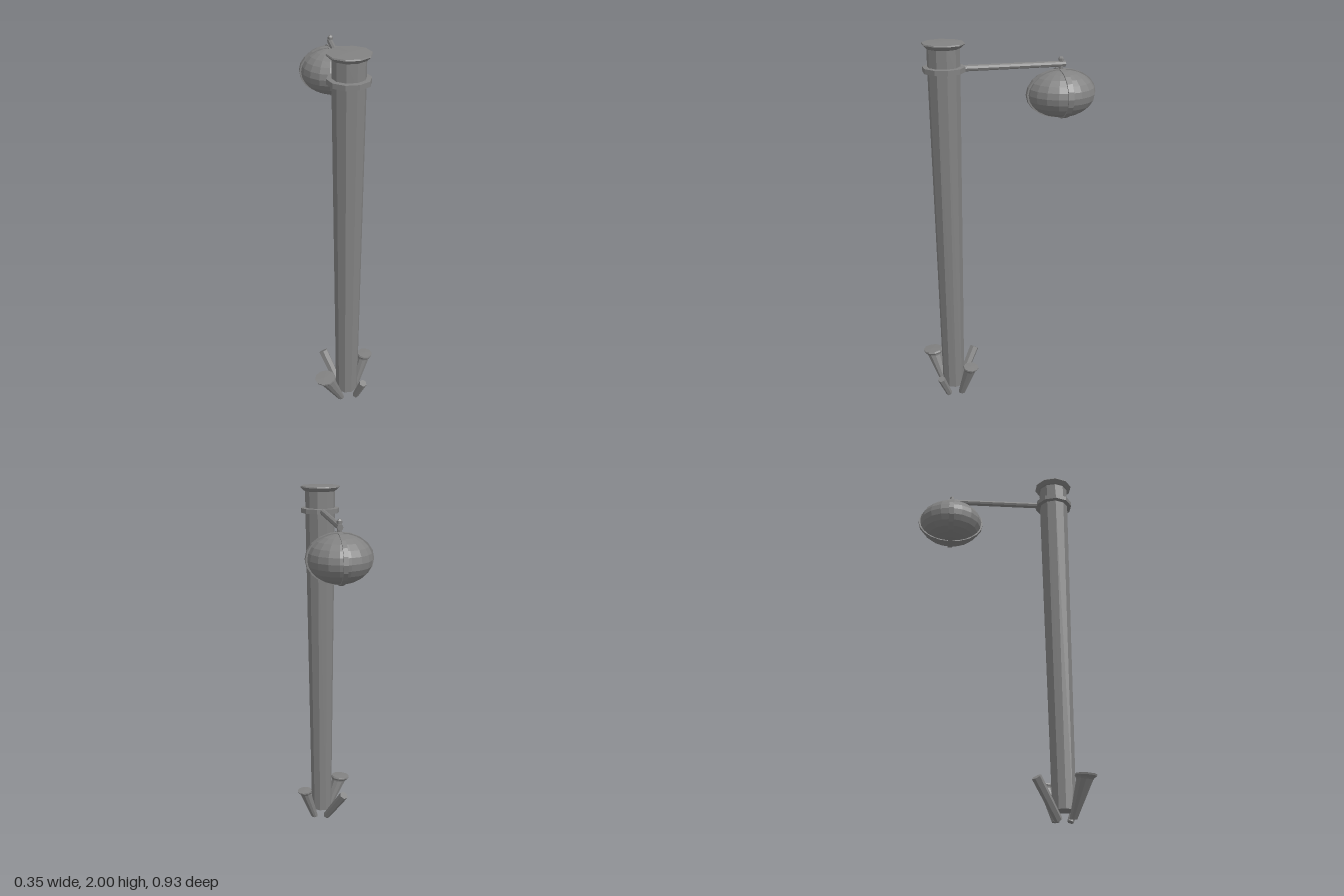
import * as THREE from 'three';

const mat = new THREE.MeshStandardMaterial({ color: 0x828282, flatShading: true });
const POST = [0.011, 0, 0.321];
const BALL = [0.011, 1.712, -0.283];

function add(parent, name, geo, pos = [0, 0, 0]) {
  const m = new THREE.Mesh(geo, mat);
  m.name = name;
  m.position.set(...pos);
  parent.add(m);
  return m;
}

// Faceted turned shape with corners on the x axis
function turned(points, sides) {
  const pts = points.map(([r, y]) => new THREE.Vector2(r, y));
  return new THREE.LatheGeometry(pts, sides, Math.PI / 2);
}

// Tapered rod between two points
function rod(parent, name, a, b, ra, rb, sides = 6) {
  const from = new THREE.Vector3(...a), to = new THREE.Vector3(...b);
  const dir = to.clone().sub(from);
  const m = add(parent, name, new THREE.CylinderGeometry(rb, ra, dir.length(), sides));
  m.position.copy(from).add(to).multiplyScalar(0.5);
  m.quaternion.setFromUnitVectors(new THREE.Vector3(0, 1, 0), dir.normalize());
  return m;
}

// Leaning peg: a turned shape sheared sideways, its flared head dipping outward
function headedPeg(parent, name, foot, top, r) {
  const h = top[1] - foot[1], dx = top[0] - foot[0], dz = top[2] - foot[2];
  const geo = turned([[0, 0], [0.019, 0], [r * 0.76, h - 0.025], [r * 0.82, h - 0.018],
    [r, h - 0.008], [r * 0.98, h], [0, h + 0.002]], 10);
  const p = geo.attributes.position;
  for (let i = 0; i < p.count; i++) {
    const x = p.getX(i), y = p.getY(i), z = p.getZ(i), t = y / h;
    p.setXYZ(i, x + t * dx, y - 1.2 * (x * dx + z * dz), z + t * dz);
  }
  geo.computeVertexNormals();
  add(parent, name, geo, foot);
}

// Flat elliptical hoop standing in the xy plane
function hoop(rx, ry, thick, width) {
  const ellipse = (a, b) => new THREE.EllipseCurve(0, 0, a, b).getPoints(20).slice(0, 20);
  const shape = new THREE.Shape(ellipse(rx, ry));
  shape.holes.push(new THREE.Path(ellipse(rx - thick, ry - thick)));
  const geo = new THREE.ExtrudeGeometry(shape, { depth: width, bevelEnabled: false });
  return geo.translate(0, 0, -width / 2);
}

export function createModel() {
  const model = new THREE.Group();
  model.name = 'lanternPost';

  // Post, collar and flared cap
  add(model, 'post', turned([[0, 0.065], [0.06, 0.065], [0.081, 1.86], [0.081, 1.978], [0, 1.978]], 10), POST);
  add(model, 'collar', turned([[0.078, 1.853], [0.105, 1.855], [0.105, 1.88], [0.078, 1.882]], 10), POST);
  add(model, 'cap', turned([[0.078, 1.968], [0.088, 1.972], [0.107, 1.99], [0.104, 1.996], [0, 2]], 10), POST);

  // Arm and the hanger pin through its tip
  rod(model, 'arm', [0.011, 1.867, 0.25], [0.011, 1.861, -0.303], 0.016, 0.015, 8);
  rod(model, 'hangerPin', [0.011, 1.82, -0.28], [0.011, 1.885, -0.28], 0.012, 0.012);
  add(model, 'pinKnob', turned([[0, 1.876], [0.014, 1.878], [0.014, 1.889], [0.007, 1.898], [0, 1.898]], 6),
    [0.011, 0, -0.28]);

  // Lantern ball wrapped by two crossing bands
  const lantern = new THREE.Group();
  lantern.name = 'lantern';
  lantern.position.set(...BALL);
  model.add(lantern);
  add(lantern, 'ball', new THREE.SphereGeometry(1, 18, 12).scale(0.159, 0.121, 0.178));
  add(lantern, 'crossBand', hoop(0.166, 0.126, 0.018, 0.028));
  add(lantern, 'lengthBand', hoop(0.185, 0.126, 0.018, 0.022)).rotation.y = Math.PI / 2;

  // Pegs around the foot: two with heads, two plain
  headedPeg(model, 'leftPeg', [0.06, 0.02, 0.285], [0.126, 0.221, 0.243], 0.042);
  headedPeg(model, 'rightPeg', [-0.027, 0.018, 0.358], [-0.123, 0.219, 0.413], 0.055);
  rod(model, 'backPeg', [-0.014, 0.014, 0.288], [-0.101, 0.205, 0.171], 0.021, 0.026, 6);
  rod(model, 'frontPeg', [0.056, 0.021, 0.358], [0.089, 0.145, 0.406], 0.017, 0.021, 6);

  return model;
}
